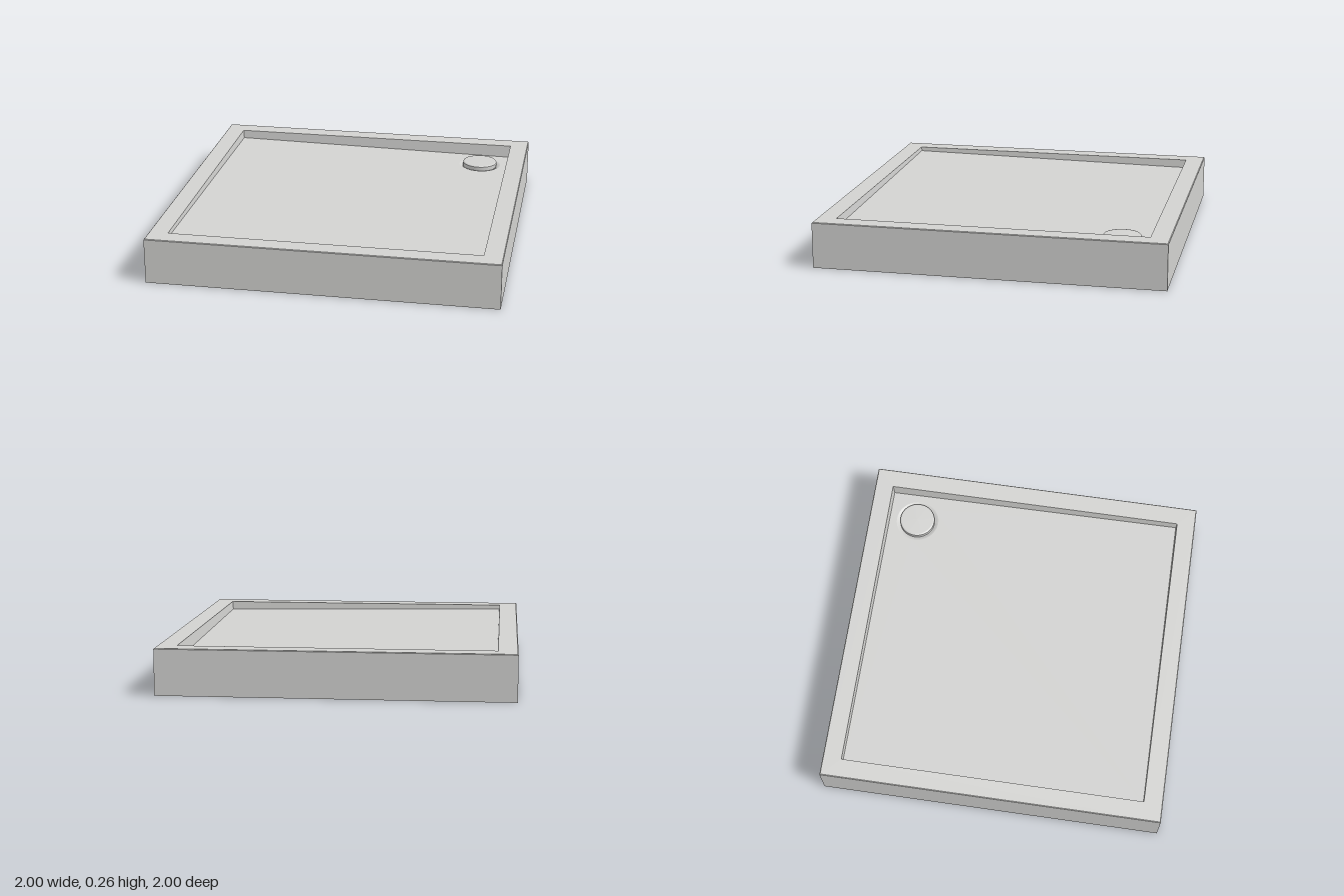
import * as THREE from 'three';

const HEIGHT = 0.265;
const DRAIN = { x: 0.71, z: -0.71 };

// The basin floor falls gently towards the drain corner
const floorY = (x, z) => 0.215 - 0.0142 * (x - z);

const vecs = (pts) => pts.map(([x, y]) => new THREE.Vector2(x, y));

// Sweeps a profile of [half width, y] around a square
function squareSweep(profile) {
  const pts = profile.map(([w, y]) => [w * Math.SQRT2, y]);
  const geo = new THREE.LatheGeometry(vecs(pts), 4, Math.PI / 4).toNonIndexed();
  geo.computeVertexNormals();
  return geo;
}

// Moves a flat geometry onto the sloping floor
function dropToFloor(geo) {
  const p = geo.attributes.position;
  for (let i = 0; i < p.count; i++) p.setY(i, p.getY(i) + floorY(p.getX(i), p.getZ(i)));
  geo.computeVertexNormals();
  return geo;
}

function squareShape(h) {
  return new THREE.Shape(vecs([[-h, -h], [h, -h], [h, h], [-h, h]]));
}

export function createModel() {
  const group = new THREE.Group();
  const grey = new THREE.MeshStandardMaterial({ color: 0xd2d2d0 });
  grey.name = 'light grey';
  const tan = new THREE.MeshStandardMaterial({ color: 0xcec8ae });
  tan.name = 'tan backing';

  const add = (name, geo, mat) => {
    const mesh = new THREE.Mesh(geo, mat);
    mesh.name = name;
    group.add(mesh);
    return mesh;
  };

  // Skirt, raised rim and basin walls
  add('skirtAndRim', squareSweep([
    [0.967, 0], [1, 0], [1, HEIGHT - 0.004], [0.996, HEIGHT], [0.89, HEIGHT], [0.882, 0.16],
  ]), grey);

  // Sloping floor with the drain opening
  const floorShape = squareShape(0.888);
  floorShape.holes.push(new THREE.Path().absarc(DRAIN.x, -DRAIN.z, 0.13, 0, Math.PI * 2, true));
  add('basinFloor', dropToFloor(new THREE.ShapeGeometry(floorShape, 24).rotateX(-Math.PI / 2)), grey);

  // Shallow dish around the drain
  const dish = new THREE.LatheGeometry(vecs([[0.13, 0], [0.115, -0.004], [0.1, -0.02], [0, -0.02]]), 48);
  add('drainDish', dropToFloor(dish.translate(DRAIN.x, 0, DRAIN.z)), grey);

  // Round drain cover
  const cover = new THREE.LatheGeometry(vecs([
    [0, -0.01], [0.104, -0.01], [0.104, -0.01], [0.106, -0.008], [0.106, 0.018],
    [0.106, 0.018], [0.102, 0.023], [0.095, 0.024], [0, 0.026],
  ]), 48);
  add('drainCover', cover, grey).position.set(DRAIN.x, floorY(DRAIN.x, DRAIN.z), DRAIN.z);

  // Backing on the inside of the skirt and under the floor
  add('backingLining', squareSweep([[0, 0.125], [0.967, 0.125], [0.967, 0]]), tan);

  // Drain boss on the underside
  add('drainBoss', new THREE.CylinderGeometry(0.1, 0.1, 0.008, 48), tan)
    .position.set(DRAIN.x, 0.122, DRAIN.z);

  // Base block with a round notch for the drain
  const h = 0.87, r = 0.32;
  const reach = Math.sqrt(r * r - (h - DRAIN.x) ** 2);
  const angle = Math.atan2(reach, h - DRAIN.x);
  const base = new THREE.Shape();
  base.moveTo(-h, -h);
  base.lineTo(h, -h);
  base.lineTo(h, DRAIN.x - reach);
  base.absarc(DRAIN.x, -DRAIN.z, r, -angle, angle - Math.PI * 1.5, true);
  base.lineTo(-h, h);
  const block = new THREE.ExtrudeGeometry(base, { depth: 0.12, bevelEnabled: false, curveSegments: 40 });
  add('baseBlock', block.rotateX(-Math.PI / 2), grey).position.y = 0.005;

  return group;
}
